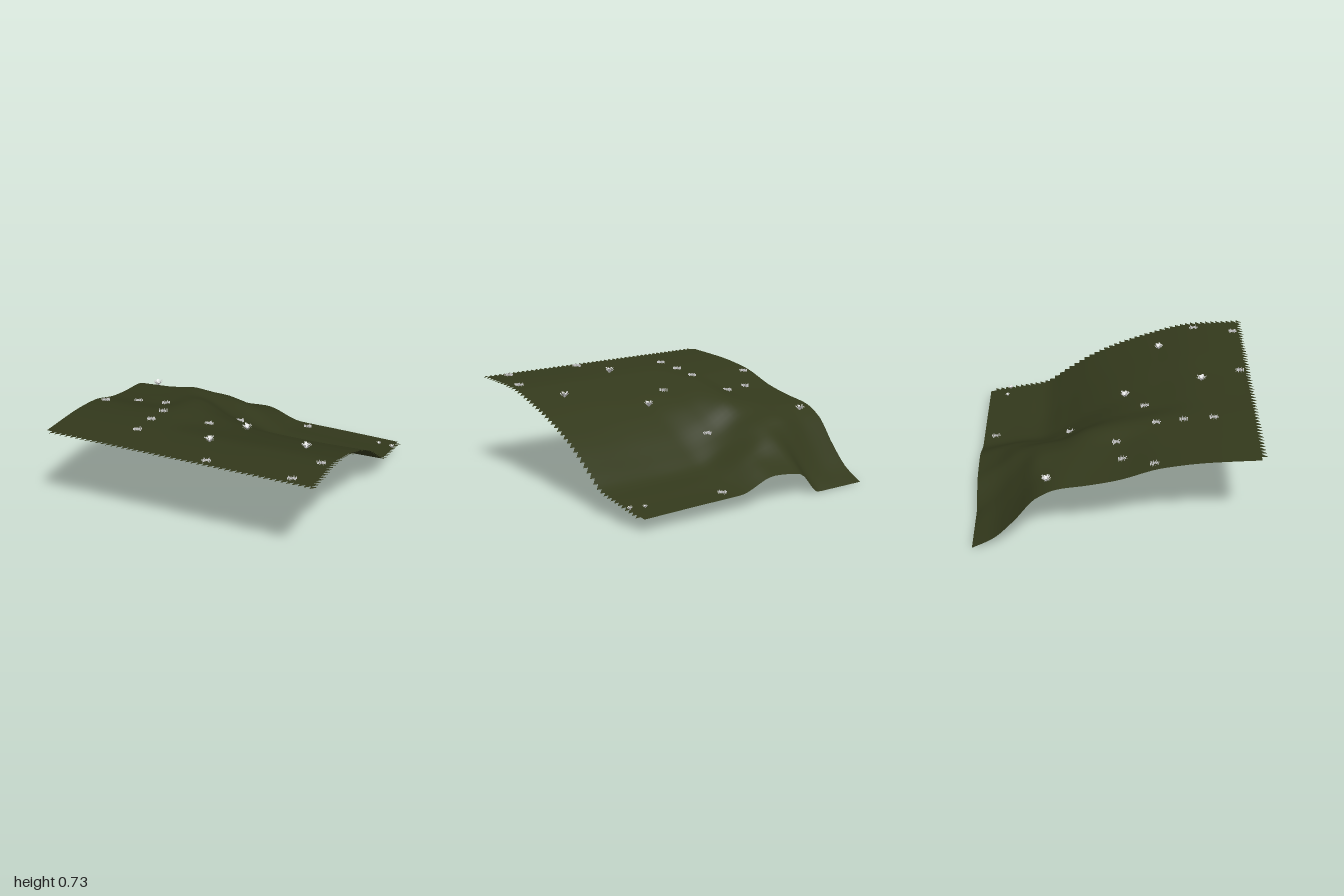
import * as THREE from 'three';

// Control heights of the hillside: one row per z, one column per x
const XS = [-1, -0.8, -0.58, -0.4, -0.15, 0.15, 0.5, 1];
const ZS = [-1, -0.85, -0.7, -0.55, -0.4, -0.2, 0, 0.3, 0.6, 1];
const HEIGHTS = [
  [0.01, 0.01, 0.01, 0.17, 0.2, 0.115, 0.11, 0.1],
  [0.09, 0.1, 0.15, 0.275, 0.26, 0.14, 0.13, 0.125],
  [0.24, 0.26, 0.33, 0.385, 0.31, 0.17, 0.155, 0.15],
  [0.42, 0.435, 0.475, 0.45, 0.32, 0.195, 0.175, 0.18],
  [0.495, 0.505, 0.51, 0.48, 0.36, 0.275, 0.265, 0.28],
  [0.525, 0.535, 0.55, 0.565, 0.47, 0.405, 0.4, 0.415],
  [0.565, 0.57, 0.58, 0.615, 0.555, 0.51, 0.505, 0.515],
  [0.66, 0.66, 0.665, 0.67, 0.625, 0.615, 0.62, 0.625],
  [0.7, 0.7, 0.7, 0.7, 0.695, 0.695, 0.7, 0.7],
  [0.72, 0.72, 0.72, 0.72, 0.72, 0.72, 0.72, 0.72],
];

// Smooth cubic through unevenly spaced values, without overshoot
function smooth(ks, vs, t) {
  const n = ks.length;
  let i = 0;
  while (i < n - 2 && t > ks[i + 1]) i++;
  const slope = (j) => (vs[j + 1] - vs[j]) / (ks[j + 1] - ks[j]);
  const tangent = (j) => {
    if (j === 0) return slope(0);
    if (j === n - 1) return slope(n - 2);
    const a = slope(j - 1), b = slope(j);
    return a * b <= 0 ? 0 : (2 * a * b) / (a + b);
  };
  const h = ks[i + 1] - ks[i], u = (t - ks[i]) / h, u2 = u * u, u3 = u2 * u;
  return vs[i] * (2 * u3 - 3 * u2 + 1) + h * tangent(i) * (u3 - 2 * u2 + u)
    + vs[i + 1] * (3 * u2 - 2 * u3) + h * tangent(i + 1) * (u3 - u2);
}

const heightAt = (x, z) => smooth(ZS, HEIGHTS.map((row) => smooth(XS, row, x)), z);

function geometryFrom(positions, index) {
  const g = new THREE.BufferGeometry();
  g.setAttribute('position', new THREE.Float32BufferAttribute(positions, 3));
  g.setIndex(index);
  g.computeVertexNormals();
  return g;
}

// Square sheet whose last row and column keep only half of each cell
function hillsideGeometry() {
  const N = 50, positions = [], index = [];
  for (let j = 0; j <= N; j++) {
    for (let i = 0; i <= N; i++) {
      const x = -1 + (2 * i) / N, z = -1 + (2 * j) / N;
      positions.push(x, heightAt(x, z), z);
    }
  }
  for (let j = 0; j < N; j++) {
    for (let i = 0; i < N; i++) {
      const a = j * (N + 1) + i, b = a + 1, c = a + N + 1, d = c + 1;
      const edge = i === N - 1 || j === N - 1;
      if (edge && (i === 0 || j === 0)) continue;
      index.push(a, c, b);
      if (!edge) index.push(b, c, d);
    }
  }
  return geometryFrom(positions, index);
}

// Tuft of upright blades in crossed rows
function uprightTuft() {
  const positions = [], index = [];
  for (let r = 0; r < 4; r++) {
    const a = (r * Math.PI) / 4 + 0.2, dx = Math.cos(a), dz = Math.sin(a);
    for (let k = -3; k <= 3; k++) {
      const s = k * 0.0095, w = 0.0036, top = 0.013 + 0.004 * ((k + r + 8) % 3) / 2;
      const o = positions.length / 3;
      positions.push((s - w) * dx, -0.006, (s - w) * dz, (s + w) * dx, -0.006, (s + w) * dz,
        (s + w) * dx, top, (s + w) * dz, (s - w) * dx, top, (s - w) * dz);
      index.push(o, o + 1, o + 2, o, o + 2, o + 3);
    }
  }
  return geometryFrom(positions, index);
}

// Tuft of leaves spreading outward from one root
function flaredTuft() {
  const positions = [], index = [], count = 20;
  for (let k = 0; k < count; k++) {
    const a = (k / count) * Math.PI * 2, reach = 0.024 + 0.013 * ((k * 7) % 5) / 4;
    const top = 0.026 + 0.012 * ((k * 3) % 4) / 3, w = 0.006;
    const cx = Math.cos(a), cz = Math.sin(a), o = positions.length / 3;
    positions.push(0, -0.004, 0,
      cx * reach - cz * w, top, cz * reach + cx * w,
      cx * reach + cz * w, top, cz * reach - cx * w);
    index.push(o, o + 1, o + 2);
  }
  return geometryFrom(positions, index);
}

export function createModel() {
  const grass = new THREE.MeshStandardMaterial({ color: 0x33391c, side: THREE.DoubleSide });
  grass.name = 'olive grass';
  const grey = new THREE.MeshStandardMaterial({ color: 0xd4d4d4, side: THREE.DoubleSide });
  grey.name = 'pale grey leaves';

  const model = new THREE.Group();
  model.name = 'hillside';
  const ground = new THREE.Mesh(hillsideGeometry(), grass);
  ground.name = 'ground';
  model.add(ground);

  // Plants scattered over the slope
  const scatter = (name, geometry, spots) => {
    const group = new THREE.Group();
    group.name = name + 's';
    spots.forEach(([x, z, size = 1], i) => {
      const plant = new THREE.Mesh(geometry, grey);
      plant.name = name;
      plant.position.set(x, heightAt(x, z), z);
      plant.rotation.y = i * 1.3;
      plant.scale.setScalar(size);
      group.add(plant);
    });
    model.add(group);
  };
  scatter('uprightTuft', uprightTuft(), [
    [0.81, 0.92], [0.2, 0.92], [0.9, 0.62], [-0.44, 0.68], [-0.44, 0.47], [-0.44, 0.28],
    [-0.11, 0.21], [-0.93, 0.25], [-0.56, 0], [-0.77, 0.04], [-0.1, -0.33], [0.24, -0.91],
  ]);
  scatter('flaredTuft', flaredTuft(), [
    [-0.87, -0.48], [0.13, 0.07], [0.69, 0.34], [0.09, 0.63], [0.85, -0.86, 0.5], [0.96, -0.84, 0.6],
  ]);
  return model;
}
